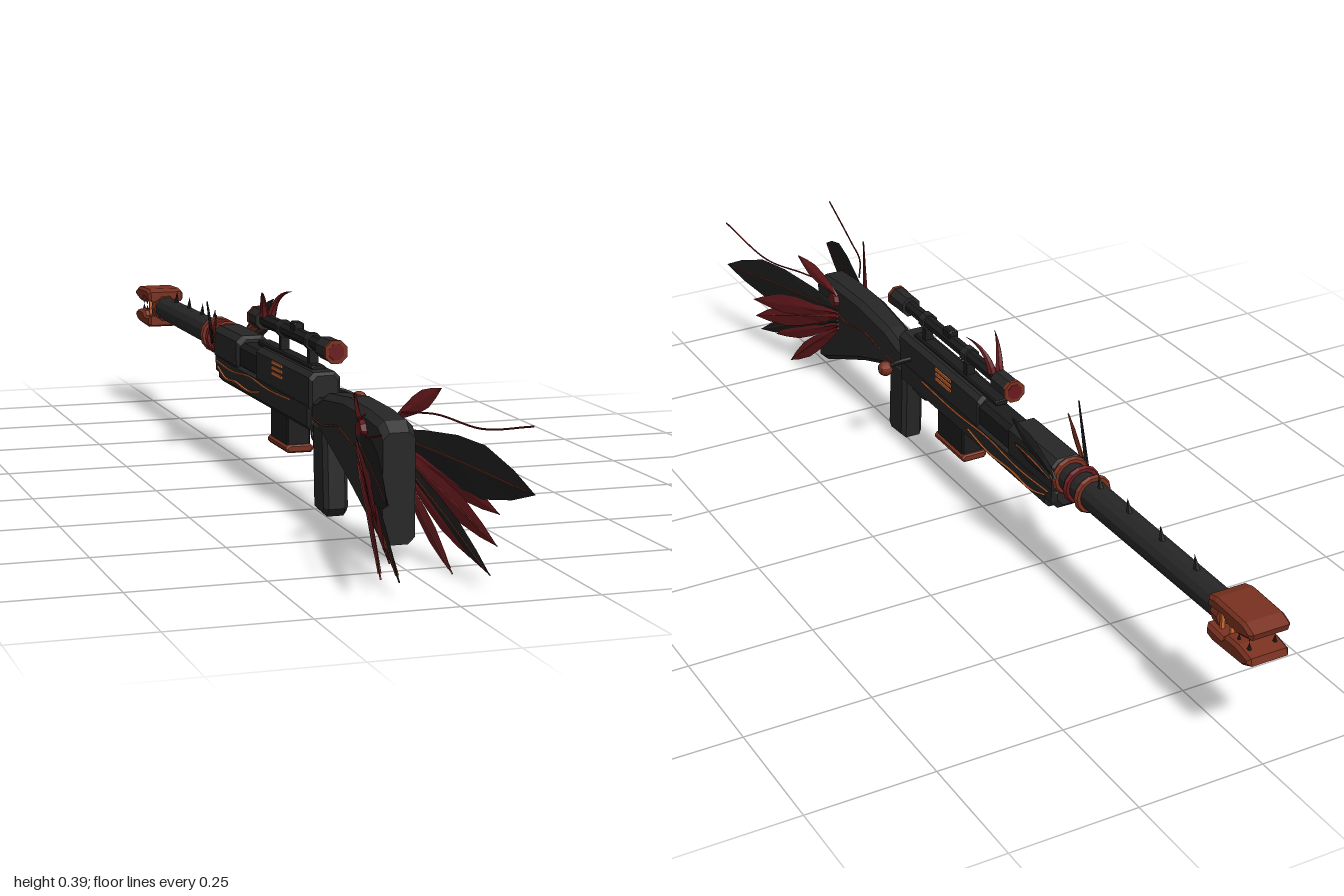
import * as THREE from 'three';

const mat = (name, color) => {
  const m = new THREE.MeshStandardMaterial({ color, flatShading: true });
  m.name = name;
  return m;
};
const V = (x, y, z) => new THREE.Vector3(x, y, z);

export function createModel() {
  const model = new THREE.Group();
  model.name = 'rifle';
  const dark = mat('charcoal', 0x262626), black = mat('black', 0x1b1c1b);
  const rust = mat('rust', 0x78301f), red = mat('deepRed', 0x681a1e), orange = mat('ember', 0xcf6a34);

  const add = (name, geo, m) => {
    const mesh = new THREE.Mesh(geo, m);
    mesh.name = name;
    model.add(mesh);
    return mesh;
  };

  // Skin through rings that run counterclockwise about the direction of travel
  const loft = (rings) => {
    const n = rings[0].length, pos = [], idx = [], last = (rings.length - 1) * n;
    rings.forEach(r => r.forEach(p => pos.push(p.x, p.y, p.z)));
    for (let i = 0; i < rings.length - 1; i++) for (let j = 0; j < n; j++) {
      const a = i * n + j, b = i * n + (j + 1) % n;
      idx.push(a, b, b + n, a, b + n, a + n);
    }
    for (let j = 1; j < n - 1; j++) idx.push(0, j + 1, j, last, last + j, last + j + 1);
    const g = new THREE.BufferGeometry();
    g.setAttribute('position', new THREE.Float32BufferAttribute(pos, 3));
    g.setIndex(idx);
    const flat = g.toNonIndexed();
    flat.computeVertexNormals();
    return flat;
  };
  // Chamfered rectangle across the z axis
  const ring = (z, yb, yt, w, c) => [
    V(w, yb + c, z), V(w, yt - c, z), V(w - c, yt, z), V(c - w, yt, z),
    V(-w, yt - c, z), V(-w, yb + c, z), V(c - w, yb, z), V(w - c, yb, z)];
  const block = (name, z0, z1, yb, yt, w, c, m) => {
    const e = c * 0.6;
    return add(name, loft([ring(z0, yb + e, yt - e, w - e, c), ring(z0 + e, yb, yt, w, c),
      ring(z1 - e, yb, yt, w, c), ring(z1, yb + e, yt - e, w - e, c)]), m);
  };
  // Cylinder along z, rBack at z0 and rFront at z1
  const tubeZ = (name, rBack, rFront, z0, z1, y, m, sides = 8) => {
    const g = new THREE.CylinderGeometry(rFront, rBack, z1 - z0, sides);
    g.rotateY(Math.PI / sides).rotateX(Math.PI / 2).translate(0, y, (z0 + z1) / 2);
    return add(name, g, m);
  };
  // Side profile of [z, y] points with a width across x
  const profile = (name, pts, width, bevel, m) => {
    const shape = new THREE.Shape(pts.map(p => new THREE.Vector2(p[0], p[1])));
    const depth = width - 2 * bevel;
    const g = new THREE.ExtrudeGeometry(shape, { depth, bevelEnabled: bevel > 0, bevelSize: bevel,
      bevelOffset: -bevel, bevelThickness: bevel, bevelSegments: 1 });
    g.translate(0, 0, -depth / 2).rotateY(-Math.PI / 2);
    return add(name, g, m);
  };
  const wire = (name, pts, r, m, seg = 20) =>
    add(name, new THREE.TubeGeometry(new THREE.CatmullRomCurve3(pts), seg, r, 5), m);
  const box = (name, w, h, d, x, y, z, m) =>
    add(name, new THREE.BoxGeometry(w, h, d).translate(x, y, z), m);
  // Pointed blade with a raised central ridge
  const feather = (name, root, tip, w, m, rib) => {
    const d = tip.clone().sub(root).normalize();
    const up = V(0, 1, 0).addScaledVector(d, -d.y).normalize();
    const side = d.clone().cross(up);
    const at = (t, u, n) => root.clone().lerp(tip, t).addScaledVector(up, u).addScaledVector(side, n);
    const rings = [[0, 0.2], [0.2, 0.6], [0.45, 0.95], [0.65, 1], [0.85, 0.55], [1, 0.01]].map(([t, k]) => {
      const h = 0.003 * (1 - t) + 0.0015;
      return [at(t, w * k, 0), at(t, 0, h), at(t, -w * k, 0), at(t, 0, -h)];
    });
    add(name, loft(rings), m);
    if (rib) for (const n of [-1, 1])
      wire(name + 'Rib', [at(0.1, 0, n * 0.004), at(0.5, 0.003, n * 0.003), at(0.95, 0, n * 0.002)], 0.0013, rib, 8);
  };

  // Stock, grip and trigger
  add('stock', loft([
    [0.27, 0.178, 0.226, 0.023], [0.33, 0.176, 0.232, 0.025], [0.38, 0.162, 0.25, 0.028],
    [0.5, 0.122, 0.263, 0.031], [0.62, 0.072, 0.26, 0.032], [0.69, 0.042, 0.253, 0.032],
    [0.71, 0.037, 0.235, 0.03]].map(([z, b, t, w]) => ring(z, b, t, w, 0.012))), dark);
  profile('grip', [[0.312, 0.018], [0.37, 0.014], [0.382, 0.03], [0.37, 0.185], [0.3, 0.185]], 0.048, 0.008, dark);
  wire('triggerGuard', [V(0, 0.175, 0.31), V(0, 0.142, 0.3), V(0, 0.137, 0.27), V(0, 0.142, 0.24), V(0, 0.175, 0.236)], 0.005, black);
  wire('trigger', [V(0, 0.175, 0.28), V(0, 0.16, 0.27), V(0, 0.148, 0.276)], 0.003, orange, 8);

  // Receiver, fore-end and barrel
  block('receiver', -0.04, 0.31, 0.2, 0.277, 0.031, 0.01, dark);
  block('lowerBody', -0.31, 0.305, 0.163, 0.222, 0.032, 0.01, dark);
  block('foreEndNose', -0.338, -0.25, 0.172, 0.23, 0.032, 0.014, dark);
  block('barrelBed', -0.17, -0.03, 0.21, 0.266, 0.028, 0.01, black);
  block('barrelShroud', -0.34, -0.16, 0.205, 0.28, 0.034, 0.012, dark);
  block('topRail', -0.08, 0.27, 0.272, 0.284, 0.014, 0.003, black);
  block('magazine', 0.04, 0.15, 0.102, 0.175, 0.024, 0.005, black);
  block('magazineBase', 0.033, 0.157, 0.094, 0.11, 0.028, 0.005, rust);
  tubeZ('barrel', 0.027, 0.03, -0.88, -0.32, 0.245, dark, 12);
  [-0.345, -0.385, -0.425].forEach((z, i) => {
    const g = new THREE.TorusGeometry(0.033, 0.007, 6, 14).translate(0, 0.246, z);
    add('barrelRing', g, i === 1 ? red : rust);
  });
  for (const z of [-0.45, -0.55, -0.66, -0.77]) {
    const g = new THREE.ConeGeometry(0.007, 0.032, 5).rotateX(0.3).translate(0, 0.283, z);
    add('barrelSpike', g, black);
  }

  // Open jaws at the muzzle, with teeth between them
  tubeZ('muzzleCollar', 0.032, 0.03, -0.885, -0.862, 0.245, rust, 10);
  const jaw = [[-0.868, 0.262], [-0.868, 0.284], [-0.89, 0.29], [-0.975, 0.287], [-1, 0.276],
    [-0.996, 0.263], [-0.96, 0.255], [-0.925, 0.256], [-0.915, 0.266]];
  profile('upperJaw', jaw, 0.084, 0.006, rust);
  profile('lowerJaw', jaw.map(([z, y]) => [z, 0.49 - y]), 0.084, 0.006, rust);
  for (const s of [-1, 1]) {
    for (const z of [-0.892, -0.92]) box('jawBar', 0.007, 0.05, 0.006, s * 0.024, 0.245, z, orange);
    for (const z of [-0.945, -0.975]) for (const e of [-1, 1]) {
      const g = new THREE.ConeGeometry(0.005, 0.016, 5);
      if (e > 0) g.rotateX(Math.PI);
      add('tooth', g.translate(s * 0.026, 0.245 + e * 0.008, z), black);
    }
  }

  // Scope with mounts, lenses and horns
  tubeZ('scopeTube', 0.014, 0.014, -0.12, 0.36, 0.325, black);
  for (const [z0, z1] of [[0.31, 0.37], [-0.125, -0.07]]) tubeZ('scopeBell', 0.022, 0.022, z0, z1, 0.325, dark);
  for (const [z0, z1] of [[0.366, 0.374], [-0.13, -0.122]]) {
    tubeZ('scopeRim', 0.0235, 0.0235, z0, z1, 0.325, rust);
    tubeZ('lens', 0.016, 0.016, z0 - 0.001, z1 + 0.001, 0.325, red);
  }
  for (const z of [0.235, 0.055]) {
    box('scopeMount', 0.018, 0.05, 0.014, 0, 0.295, z, black);
    tubeZ('scopeClamp', 0.018, 0.018, z - 0.01, z + 0.01, 0.325, dark);
  }
  block('scopeTurret', 0.12, 0.15, 0.325, 0.35, 0.01, 0.003, black);

  // Bolt handle on the left side
  wire('boltHandle', [V(0.025, 0.235, 0.255), V(0.055, 0.23, 0.262), V(0.08, 0.218, 0.272)], 0.005, black, 8);
  add('boltKnob', new THREE.SphereGeometry(0.016, 10, 8).translate(0.08, 0.216, 0.275), rust);

  for (const s of [-1, 1]) {
    const P = (x, y, z) => V(s * x, y, z);

    // Curved horn on the scope
    const hornPath = new THREE.QuadraticBezierCurve3(P(0.008, 0.335, -0.055), P(0.014, 0.385, -0.045), P(0.032, 0.392, 0.008));
    const horn = [];
    for (let i = 0; i <= 8; i++) {
      const c = hornPath.getPoint(i / 8), d = hornPath.getTangent(i / 8);
      const a = V(1, 0, 0).addScaledVector(d, -d.x).normalize(), b = d.clone().cross(a);
      const r = 0.009 * (1 - i / 8) + 0.0004;
      horn.push([0, 1, 2, 3, 4, 5].map(k => c.clone()
        .addScaledVector(a, r * Math.cos(k * Math.PI / 3)).addScaledVector(b, r * Math.sin(k * Math.PI / 3))));
    }
    add('scopeHorn', loft(horn), red);

    // Glowing side vents and seams
    for (let i = 0; i < 3; i++) box('sideVent', 0.004, 0.006, 0.065, s * 0.032, 0.241 + i * 0.011, 0.108, orange);
    wire('upperSeam', [P(0.033, 0.207, 0.2), P(0.033, 0.203, 0.05), P(0.033, 0.209, -0.08), P(0.033, 0.2, -0.2), P(0.033, 0.205, -0.32)], 0.002, orange);
    wire('lowerSeam', [P(0.033, 0.19, 0), P(0.033, 0.178, -0.08), P(0.033, 0.182, -0.18), P(0.033, 0.178, -0.25), P(0.033, 0.194, -0.31)], 0.0025, orange);
    wire('stockSeam', [P(0.025, 0.192, 0.3), P(0.028, 0.19, 0.38), P(0.032, 0.205, 0.48), P(0.033, 0.19, 0.56), P(0.033, 0.2, 0.63)], 0.0016, rust);
    add('stockBoss', new THREE.CylinderGeometry(0.016, 0.02, 0.012, 8).rotateZ(-s * Math.PI / 2)
      .translate(s * 0.036, 0.225, 0.615), red);

    // Winglets beside the barrel
    feather('winglet', P(0.034, 0.25, -0.35), P(0.073, 0.343, -0.25), 0.014, black);
    feather('winglet', P(0.032, 0.25, -0.345), P(0.056, 0.315, -0.24), 0.013, rust);
    feather('winglet', P(0.034, 0.24, -0.345), P(0.064, 0.285, -0.245), 0.012, black, orange);

    // Tail plumage
    feather('tailWing', P(0.036, 0.21, 0.6), P(0.127, 0.178, 1), 0.047, black, rust);
    feather('tailFeather', P(0.036, 0.2, 0.6), P(0.108, 0.125, 0.9), 0.022, red);
    feather('tailFeather', P(0.036, 0.19, 0.6), P(0.098, 0.075, 0.915), 0.024, red, rust);
    feather('tailFeather', P(0.036, 0.18, 0.6), P(0.08, 0.03, 0.93), 0.02, black, rust);
    feather('tailFeather', P(0.035, 0.17, 0.6), P(0.072, 0.045, 0.86), 0.018, red);
    feather('tailFeather', P(0.034, 0.16, 0.6), P(0.065, 0.002, 0.8), 0.018, red, rust);
    feather('crestFeather', P(0.034, 0.24, 0.6), P(0.08, 0.307, 0.7), 0.017, red);

    // Antenna
    wire('antenna', [P(0.034, 0.255, 0.63), P(0.07, 0.262, 0.7), P(0.105, 0.256, 0.82), P(0.131, 0.288, 0.985)], 0.0018, red);
  }
  return model;
}
